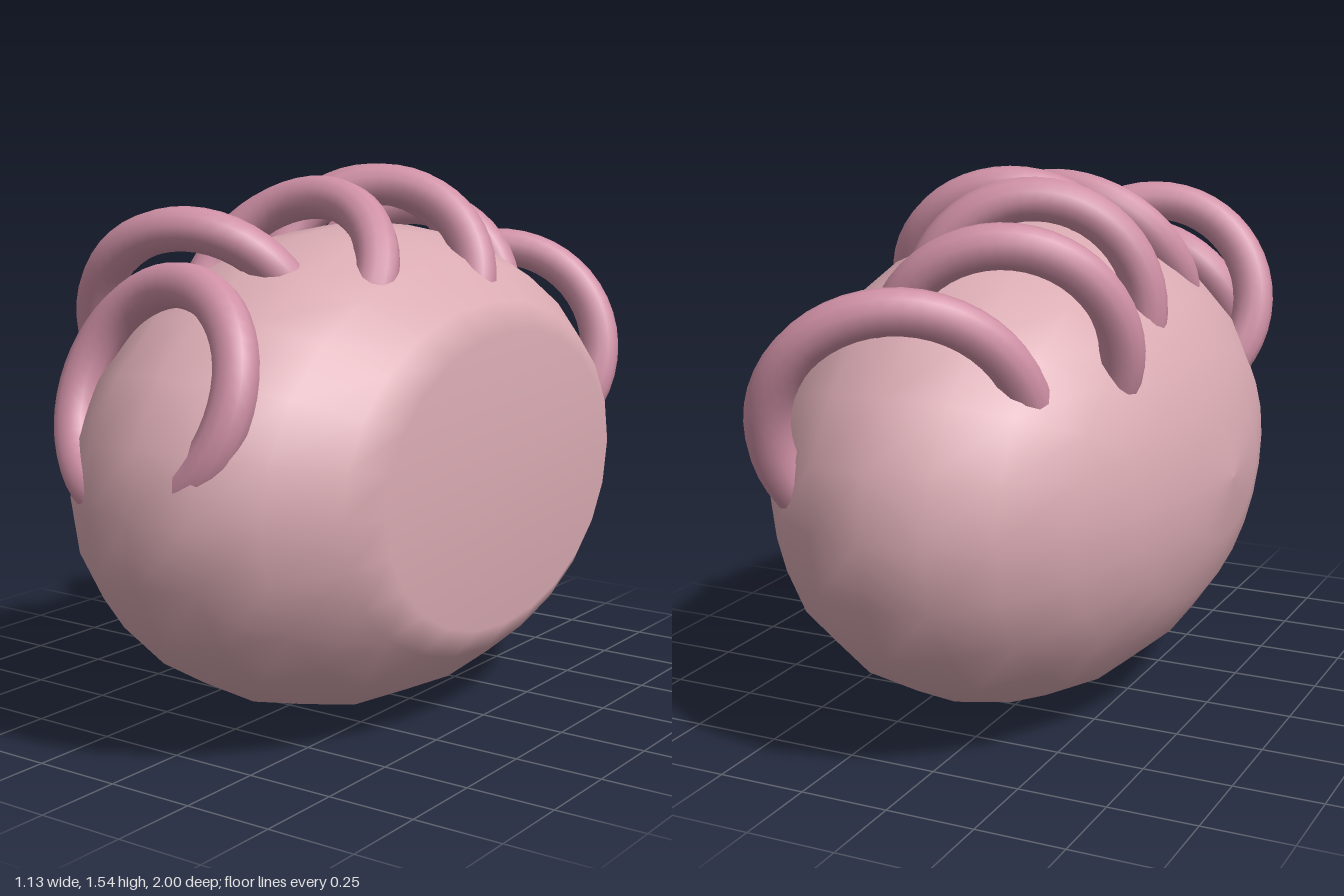
import * as THREE from 'three';

const bodyMaterial = new THREE.MeshStandardMaterial({ color: 0xd9aab2 });
bodyMaterial.name = 'pale pink';
const ringMaterial = new THREE.MeshStandardMaterial({ color: 0xcf90a5 });
ringMaterial.name = 'rose pink';

// Ellipsoid turned around x, cut flat on its left side
function makeBody() {
  const cut = 0.5 / 0.63;
  const profile = [];
  for (let i = 0; i <= 9; i++) {
    const a = (i * Math.PI) / 12;
    profile.push(new THREE.Vector2(Math.sin(a), -Math.cos(a)));
  }
  const inner = profile[9];
  const outer = new THREE.Vector2(Math.sin(Math.PI / 6), Math.cos(Math.PI / 6));
  profile.push(inner.clone().lerp(outer, (cut - inner.y) / (outer.y - inner.y)));
  profile.push(new THREE.Vector2(0, cut));
  const geometry = new THREE.LatheGeometry(profile, 24);
  geometry.rotateZ(-Math.PI / 2);
  geometry.scale(0.63, 0.69, 1);
  geometry.translate(0.065, 0.69, 0);
  const mesh = new THREE.Mesh(geometry, bodyMaterial);
  mesh.name = 'body';
  return mesh;
}

// Half-buried ring: the circle through its two feet and its crest
function makeRing(footA, crest, footB) {
  const [a, b, c] = [footA, crest, footB].map((p) => new THREE.Vector3(...p));
  const ab = b.clone().sub(a);
  const ac = c.clone().sub(a);
  const normal = ab.clone().cross(ac);
  const centre = normal.clone().cross(ab).multiplyScalar(ac.lengthSq())
    .add(ac.clone().cross(normal).multiplyScalar(ab.lengthSq()))
    .divideScalar(2 * normal.lengthSq())
    .add(a);
  const up = b.clone().sub(centre);
  const radius = up.length();
  up.normalize();
  normal.normalize();
  const side = up.clone().cross(normal);
  const geometry = new THREE.TorusGeometry(radius, 0.06, 12, 48);
  geometry.applyMatrix4(new THREE.Matrix4().makeBasis(side, up, normal).setPosition(centre));
  return new THREE.Mesh(geometry, ringMaterial);
}

// Foot, crest, foot of each ring, front to back
const RINGS = [
  [[-0.275, 0.83, 0.81], [-0.04, 1.245, 0.69], [0.27, 0.95, 0.85]],
  [[-0.41, 0.97, 0.5], [-0.245, 1.345, 0.6], [0.12, 1.28, 0.47]],
  [[-0.27, 1.25, 0.25], [0, 1.45, 0.14], [0.3, 1.305, 0.25]],
  [[-0.14, 1.34, 0.05], [0.15, 1.47, -0.13], [0.38, 1.26, -0.12]],
  [[-0.35, 1.2, -0.15], [-0.12, 1.47, -0.265], [0.17, 1.318, -0.38]],
  [[-0.39, 1.074, -0.41], [-0.21, 1.385, -0.58], [0.14, 1.2, -0.66]],
  [[-0.2, 1.13, -0.71], [0.2, 1.2, -0.93], [0.365, 0.82, -0.87]],
];

export function createModel() {
  const model = new THREE.Group();
  model.name = 'ringedLoaf';
  model.add(makeBody());
  RINGS.forEach((points, i) => {
    const ring = makeRing(...points);
    ring.name = `ring${i + 1}`;
    model.add(ring);
  });
  return model;
}
